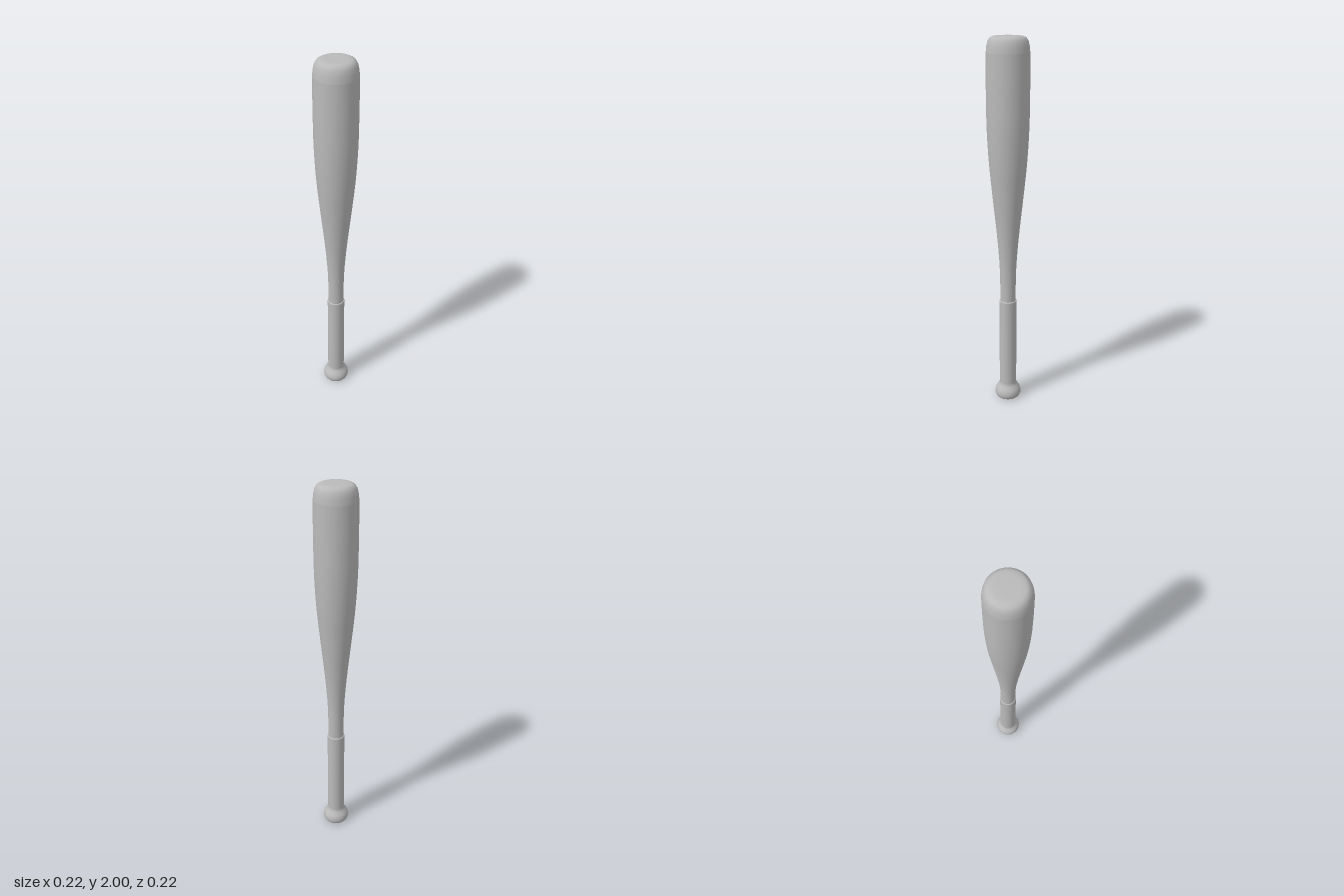
import * as THREE from 'three';

const SEGMENTS = 64;

// Revolve a profile of [radius, height] pairs, listed from bottom to top
function turned(name, profile, material, smooth = 0) {
  let points = profile.map(([r, y]) => new THREE.Vector2(r, y));
  if (smooth) points = new THREE.SplineCurve(points).getPoints(smooth);
  const mesh = new THREE.Mesh(new THREE.LatheGeometry(points, SEGMENTS), material);
  mesh.name = name;
  return mesh;
}

export function createModel() {
  const bat = new THREE.Group();
  bat.name = 'bat';
  const grey = new THREE.MeshStandardMaterial({ color: 0xbababa });
  grey.name = 'plain grey';

  // Slim neck swelling into the barrel
  bat.add(turned('barrel', [
    [0.042, 0.58], [0.0425, 0.7], [0.047, 0.83], [0.061, 1.0], [0.082, 1.2],
    [0.099, 1.38], [0.108, 1.55], [0.11, 1.7], [0.11, 1.8], [0.109, 1.92],
  ], grey, 48));

  // Rounded end with a nearly flat top
  bat.add(turned('barrelEnd', [
    [0.109, 1.92], [0.106, 1.95], [0.1, 1.975], [0.09, 1.991],
    [0.076, 1.998], [0.055, 2.0], [0, 2.0],
  ], grey));

  // Grip sleeve, slightly thicker than the neck
  bat.add(turned('grip', [[0.047, 0.08], [0.047, 0.595]], grey));
  bat.add(turned('gripLip', [[0.047, 0.595], [0.0455, 0.6], [0.041, 0.6]], grey));

  // Flared knob
  bat.add(turned('knob', [
    [0.056, 0], [0.065, 0.006], [0.071, 0.018], [0.072, 0.033],
    [0.068, 0.05], [0.058, 0.067], [0.05, 0.08], [0.047, 0.092],
  ], grey, 28));

  // Flat underside of the knob
  const base = new THREE.Mesh(new THREE.CircleGeometry(0.056, SEGMENTS), grey);
  base.rotation.x = Math.PI / 2;
  base.name = 'knobBase';
  bat.add(base);

  return bat;
}
